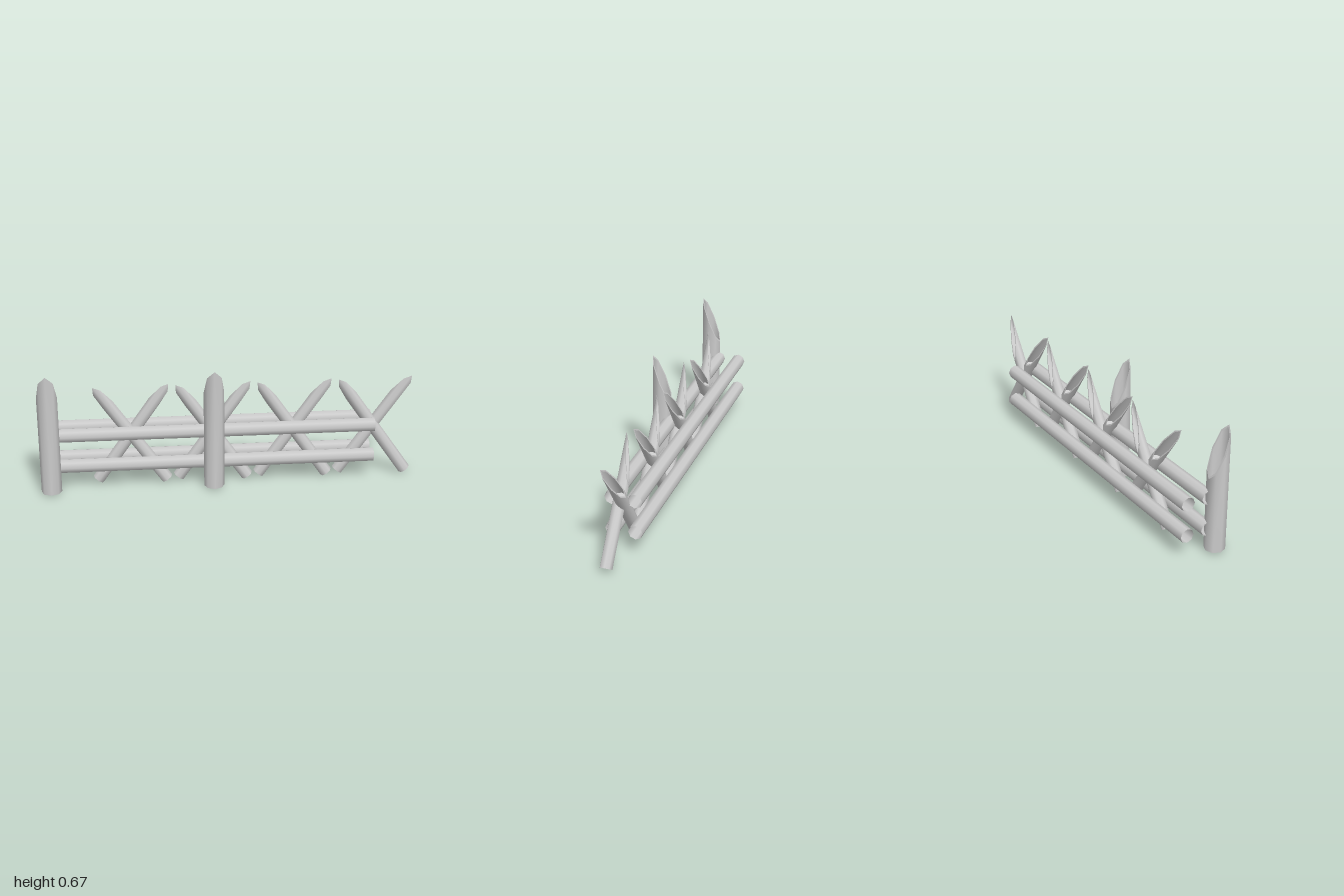
import * as THREE from 'three';

const SIDES = 8;
const material = new THREE.MeshStandardMaterial({ color: 0xcccccc, side: THREE.DoubleSide });

// One ring of points around y; heightAt gives the height for each depth z
function ring(radiusX, radiusZ, heightAt) {
  return Array.from({ length: SIDES }, (_, i) => {
    const a = (i / SIDES) * Math.PI * 2;
    const z = Math.cos(a) * radiusZ;
    return [Math.sin(a) * radiusX, heightAt(z), z];
  });
}

// Hollow pole standing on y = 0, open below, cut on a slant that falls towards -z
function cutPole(length, radius, drop) {
  const slant = (z) => length - (drop * (1 - z / radius)) / 2;
  const floor = () => length - drop - radius * 0.3;
  // Rim of even width measured along the slanted cut
  const innerX = radius * 0.8;
  const innerZ = radius * 0.92;
  const rings = [
    ring(radius, radius, () => 0),
    ring(radius, radius, slant),
    ring(innerX, innerZ, slant),
    ring(innerX, innerZ, floor),
    ring(0, 0, floor),
  ];
  const positions = [];
  const index = [];
  // Wall, rim, hollow and floor keep their own vertices so their edges stay sharp
  for (let s = 0; s < rings.length - 1; s++) {
    const base = positions.length / 3;
    positions.push(...rings[s].flat(), ...rings[s + 1].flat());
    for (let i = 0; i < SIDES; i++) {
      const a = base + i;
      const b = base + ((i + 1) % SIDES);
      index.push(a, b, b + SIDES);
      if (s < 3) index.push(a, b + SIDES, a + SIDES);
      // The floor closes to a point, so its quads are single triangles
      else index[index.length - 1] = base + SIDES;
    }
  }
  const geometry = new THREE.BufferGeometry();
  geometry.setAttribute('position', new THREE.Float32BufferAttribute(positions, 3));
  geometry.setIndex(index);
  geometry.computeVertexNormals();
  return geometry;
}

export function createModel() {
  const model = new THREE.Group();
  model.name = 'fence';

  const add = (name, geometry, x, y, z, tilt = 0) => {
    const mesh = new THREE.Mesh(geometry, material);
    mesh.name = name;
    mesh.position.set(x, y, z);
    mesh.rotation.z = tilt;
    model.add(mesh);
  };

  // Upright posts
  const post = cutPole(0.667, 0.054, 0.265);
  for (const x of [-0.944, -0.079]) add('post', post, x, 0.008, 0.076);

  // Two pairs of open rails, in front of and behind the stakes
  const rail = new THREE.CylinderGeometry(0.038, 0.038, 1.733, SIDES, 1, true);
  for (const y of [0.13, 0.306]) {
    add('frontRail', rail, -0.079, y, 0.028, Math.PI / 2);
    add('backRail', rail, -0.079, y, -0.092, Math.PI / 2);
  }

  // Crossed stakes
  const stake = cutPole(0.669, 0.033, 0.27);
  const lean = 0.61;
  for (let i = 0; i < 4; i++) {
    const x = -0.51 + i * 0.433;
    add('stakeLeaningLeft', stake, x - 0.186, 0.02, -0.032, -lean);
    add('stakeLeaningRight', stake, x + 0.183, 0.02, -0.01, lean);
  }
  return model;
}
